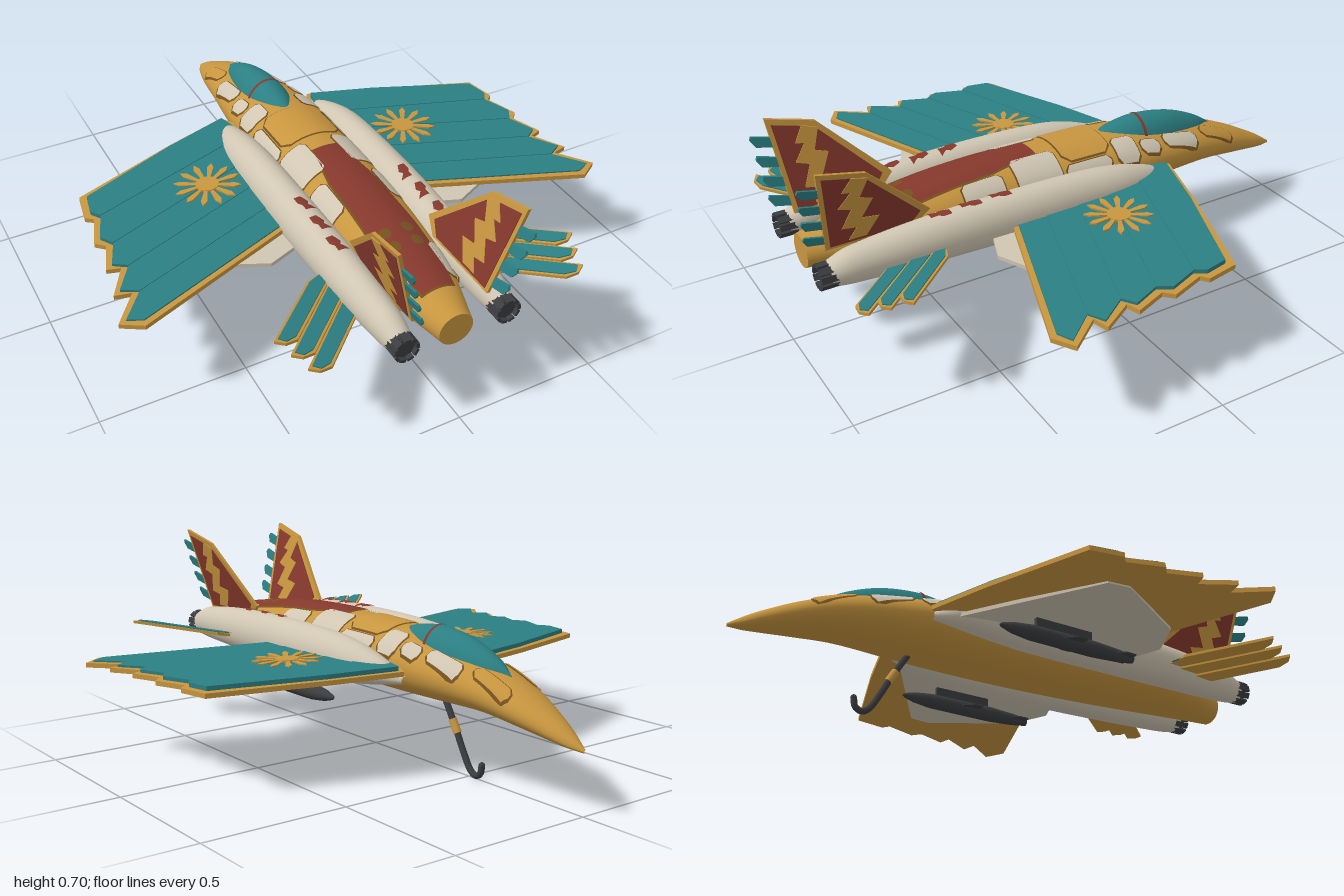
import * as THREE from 'three';
import { mergeVertices } from 'three/addons/utils/BufferGeometryUtils.js';

const material = (name, color) => Object.assign(new THREE.MeshStandardMaterial({ color }), { name });
const gold = material('gold', 0xc8963f), teal = material('teal', 0x2b7f83), cream = material('cream', 0xd0c6b2);
const red = material('red', 0x85382c), dark = material('dark grey', 0x3c3d40), brown = material('brown', 0x74501f);

// Smooth value of column c of a station table at z
function sample(table, z, c) {
  let i = 0;
  while (i < table.length - 2 && z > table[i + 1][0]) i++;
  const slope = (k) => {
    const a = table[Math.max(k - 1, 0)], b = table[Math.min(k + 1, table.length - 1)];
    return (b[c] - a[c]) / (b[0] - a[0]);
  };
  const [p, q] = [table[i], table[i + 1]], h = q[0] - p[0], t = (z - p[0]) / h;
  return p[c] * (1 + 2 * t) * (1 - t) ** 2 + h * slope(i) * t * (1 - t) ** 2
    + q[c] * t * t * (3 - 2 * t) + h * slope(i + 1) * t * t * (t - 1);
}

// Grid surface: u runs along the body, v around or across it
function grid(nu, nv, point) {
  const pos = [], index = [];
  for (let i = 0; i <= nu; i++) for (let j = 0; j <= nv; j++) pos.push(...point(i / nu, j / nv));
  for (let i = 0; i < nu; i++) for (let j = 0; j < nv; j++) {
    const a = i * (nv + 1) + j, b = a + nv + 1;
    index.push(a, a + 1, b, b, a + 1, b + 1);
  }
  const g = new THREE.BufferGeometry();
  g.setAttribute('position', new THREE.Float32BufferAttribute(pos, 3));
  g.setIndex(index);
  const merged = mergeVertices(g, 1e-5);
  merged.computeVertexNormals();
  return merged;
}

// Lofted body; stations are [z, halfWidth, bottom, top, middle, centreX]
function body(table, nu = 60, nv = 32, grow = 0, z0 = table[0][0], z1 = table.at(-1)[0]) {
  return grid(nu, nv, (u, v) => {
    const z = z0 + (z1 - z0) * u, a = v * Math.PI * 2, s = Math.sin(a);
    const [w, lo, hi, mid, cx] = [1, 2, 3, 4, 5].map((c) => sample(table, z, c));
    return [cx + (w + grow) * Math.cos(a), mid + s * (s > 0 ? hi - mid + grow : mid - lo + grow), z];
  });
}

function topOf(table, x, z) {
  const [w, , hi, mid, cx] = [1, 2, 3, 4, 5].map((c) => sample(table, z, c));
  const r = Math.min(Math.abs(x - cx) / w, 0.99);
  return mid + (hi - mid) * Math.sqrt(1 - r * r);
}

// Painted patch on top of a body; rows are [z, x0, x1]
function patch(table, rows, lift = 0.005) {
  const n = rows.length - 1;
  return grid(n * 5, 8, (u, v) => {
    const i = Math.min(Math.floor(u * n), n - 1), t = u * n - i;
    const [z, x0, x1] = [0, 1, 2].map((c) => rows[i][c] * (1 - t) + rows[i + 1][c] * t);
    const x = x1 + (x0 - x1) * v;
    return [x, topOf(table, x, z) + lift, z];
  });
}
const panel = (z0, z1, x0, x1, c = 0.02) =>
  [[z0, x0 + c, x1 - c], [z0 + c, x0, x1], [z1 - c, x0, x1], [z1, x0 + c, x1 - c]];

// Flat plate drawn in plan as [x, z]
function plate(points, y, h) {
  const shape = new THREE.Shape(points.map(([x, z]) => new THREE.Vector2(x, -z)));
  return new THREE.ExtrudeGeometry(shape, { depth: h, bevelEnabled: false }).rotateX(-Math.PI / 2).translate(0, y, 0);
}
// Leaning upright plate drawn from the side as [z, y]
function upright(points, h) {
  const shape = new THREE.Shape(points.map(([z, y]) => new THREE.Vector2(z, y)));
  const g = new THREE.ExtrudeGeometry(shape, { depth: h, bevelEnabled: false }).rotateY(-Math.PI / 2);
  return shift(g, (p) => p.setX(p.x + h / 2 + 0.135 + (p.y - 0.4) * 0.27));
}
function shift(g, rule) {
  const a = g.attributes.position, p = new THREE.Vector3();
  for (let i = 0; i < a.count; i++) {
    rule(p.fromBufferAttribute(a, i));
    a.setXYZ(i, p.x, p.y, p.z);
  }
  g.computeVertexNormals();
  return g;
}

const hull = [
  [-1, 0.004, 0.195, 0.205, 0.2, 0], [-0.95, 0.028, 0.199, 0.24, 0.215, 0], [-0.9, 0.047, 0.206, 0.27, 0.235, 0],
  [-0.77, 0.085, 0.225, 0.335, 0.28, 0], [-0.62, 0.113, 0.242, 0.39, 0.315, 0], [-0.4, 0.145, 0.24, 0.432, 0.34, 0],
  [-0.25, 0.158, 0.238, 0.455, 0.35, 0], [0, 0.158, 0.238, 0.465, 0.352, 0], [0.25, 0.152, 0.244, 0.468, 0.355, 0],
  [0.5, 0.14, 0.255, 0.455, 0.355, 0], [0.75, 0.112, 0.268, 0.42, 0.345, 0], [0.94, 0.06, 0.27, 0.385, 0.327, 0]];
const glass = [
  [-0.69, 0.004, 0.33, 0.37, 0.34, 0], [-0.62, 0.045, 0.33, 0.415, 0.35, 0], [-0.5, 0.073, 0.34, 0.462, 0.36, 0],
  [-0.36, 0.083, 0.35, 0.482, 0.37, 0], [-0.26, 0.07, 0.36, 0.474, 0.38, 0], [-0.18, 0.035, 0.38, 0.455, 0.4, 0]];
const pod = [
  [-0.37, 0.012, 0.31, 0.335, 0.322, 0.17], [-0.28, 0.042, 0.295, 0.38, 0.335, 0.188], [-0.15, 0.063, 0.278, 0.418, 0.348, 0.197],
  [0, 0.07, 0.27, 0.435, 0.352, 0.197], [0.3, 0.071, 0.27, 0.44, 0.354, 0.196], [0.6, 0.067, 0.275, 0.43, 0.352, 0.19],
  [0.85, 0.052, 0.282, 0.402, 0.342, 0.182], [0.92, 0.04, 0.29, 0.375, 0.333, 0.18]];

export function createModel() {
  const model = new THREE.Group();
  const add = (name, geometry, mat) => {
    const mesh = new THREE.Mesh(geometry, mat);
    mesh.name = name;
    model.add(mesh);
  };
  // Adds the +x part and its mirror image
  const pair = (name, geometry, mat) => {
    add(name + 'Left', geometry, mat);
    const g = mergeVertices(geometry.clone().applyMatrix4(new THREE.Matrix4().makeScale(-1, 1, 1)));
    const ix = g.index.array;
    for (let i = 0; i < ix.length; i += 3) [ix[i], ix[i + 1]] = [ix[i + 1], ix[i]];
    add(name + 'Right', g, mat);
  };
  // Patch with a thin brown outline under it
  const outlined = (name, rows, mat, put) => {
    const e = 0.005, last = rows.length - 1;
    const wide = rows.map(([z, a, b], i) => [z + (i === 0 ? -e : i === last ? e : 0), a - e, b + e]);
    put(name + 'Outline', patch(hull, wide, 0.003), brown);
    put(name, patch(hull, rows, 0.006), mat);
  };

  // Fuselage, tail cap and canopy
  add('fuselage', body(hull, 80, 40), gold);
  add('tailCap', new THREE.CircleGeometry(0.06, 32).scale(1, 0.958, 1).translate(0, 0.3275, 0.94), gold);
  add('canopy', body(glass, 40, 32), teal);
  add('canopyHoop', body(glass, 3, 32, 0.004, -0.358, -0.346), red);

  // Fuselage panels
  [[-0.56, -0.41, 0.078, 0.122], [-0.38, -0.3, 0.095, 0.138], [-0.28, -0.19, 0.07, 0.152], [-0.16, 0.02, 0.122, 0.155],
    [0.04, 0.21, 0.052, 0.15], [0.26, 0.41, 0.088, 0.148], [0.65, 0.79, 0.068, 0.112]]
    .forEach(([a, b, c, d]) => outlined('creamPanel', panel(a, b, c, d, 0.014), cream, pair));
  outlined('nosePanel', panel(-0.75, -0.6, 0.05, 0.09, 0.015), gold, pair);
  outlined('backPanel', panel(-0.175, 0.015, -0.11, 0.11, 0.025), gold, add);
  outlined('spine', [[0.1, -0.045, 0.045], [0.28, -0.076, 0.076], [0.55, -0.085, 0.085], [0.7, -0.08, 0.08], [0.83, -0.055, 0.055]], red, add);
  [0.56, 0.62].forEach((z) => pair('spineMark', patch(hull, panel(z, z + 0.04, 0.022, 0.06, 0.01), 0.009), brown));

  // Engine pods with nozzles and red marks
  pair('enginePod', body(pod, 60, 32), cream);
  pair('nozzle', new THREE.CylinderGeometry(0.036, 0.042, 0.05, 20).rotateX(Math.PI / 2).translate(0.18, 0.332, 0.915), dark);
  for (let i = 0; i < 9; i++) {
    pair('nozzlePetal', new THREE.BoxGeometry(0.022, 0.01, 0.06).translate(0, 0.038, 0).rotateZ(i * Math.PI * 2 / 9).translate(0.18, 0.332, 0.925), dark);
  }
  [0.28, 0.39, 0.5].forEach((z) => pair('podMark',
    patch(pod, [[z, 0.185, 0.21], [z + 0.03, 0.172, 0.21], [z + 0.045, 0.18, 0.2], [z + 0.07, 0.16, 0.2]], 0.004), red));

  // Wings: gold plate, five teal feathers, cream underwing
  const lean = (g) => shift(g, (p) => p.setY(p.y - 0.03 * (p.x - 0.2)));
  const front = [[0.795, -0.185], [0.79, -0.05], [0.8, 0.1], [0.795, 0.225], [0.805, 0.35]];
  const back = [[0.815, -0.07], [0.83, 0.07], [0.84, 0.21], [0.86, 0.335], [0.89, 0.46]];
  const tips = front.flatMap((p, i) => [p, back[i]]);
  pair('wing', lean(plate([[0.13, -0.29], [0.18, -0.38], [0.42, -0.312], ...tips, [0.82, 0.505], [0.13, 0.26]], 0.338, 0.016)), gold);
  const rootZ = (k) => -0.355 + 0.125 * k;
  for (let k = 0; k < 5; k++) {
    const [fx, fz] = front[k], [bx, bz] = back[k];
    const start = k === 0 ? [[0.185, -0.36], [0.42, -0.292], [fx - 0.02, fz + 0.025]] : [[0.15, rootZ(k)], [fx - 0.022, fz + 0.008]];
    const end = k === 4 ? [[bx - 0.026, bz - 0.003], [0.815, 0.482], [0.15, 0.25]]
      : [[bx - 0.024, bz - 0.008], [front[k + 1][0] - 0.022, front[k + 1][1] + 0.008], [0.15, rootZ(k + 1)]];
    pair('wingFeather', lean(plate([...start, ...end], 0.35, 0.009 + 0.0025 * (4 - k))), teal);
  }
  pair('underwing', plate([[0.15, -0.34], [0.66, -0.02], [0.67, 0.06], [0.5, 0.355], [0.36, 0.42], [0.15, 0.34]], 0.318, 0.014), cream);

  // Sunbursts on the wings
  const sun = (g) => lean(g.translate(0.39, 0, -0.02));
  pair('sunDisc', sun(new THREE.CylinderGeometry(0.04, 0.04, 0.012, 24).translate(0, 0.366, 0)), gold);
  for (let i = 0; i < 12; i++) {
    const ray = plate([[0.03, -0.005], [0.095, -0.011], [0.118, 0], [0.095, 0.011], [0.03, 0.005]], 0.36, 0.01);
    pair('sunRay', sun(ray.rotateY(i * Math.PI / 6)), gold);
  }

  // Tailplanes: three stepped feathers each, rising outward
  const rise = (g) => shift(g, (p) => p.setY(p.y + 0.17 * (p.x - 0.27)));
  const diag = (t, n) => [0.7071 * (t + n), 0.7071 * (t - n)];
  for (let k = 0; k < 3; k++) {
    const n = -0.183 - 0.06 * k, t = 0.938 + 0.026 * k, y = 0.345 - 0.007 * k;
    const blade = (e) => {
      const root = k ? [[0.17, 0.24 - 1.4142 * n + e - 0.07]] : [[0.17, 0.57 + e], [0.31 - e / 2, 0.57 + e]];
      return [...root, diag(t - e * 1.8, n - e), diag(t - 0.008 - e, n - 0.035), diag(t - 0.042 - e, n - 0.06 + e), [0.17, 0.255 - 1.4142 * (n - 0.06) - e - 0.085]];
    };
    pair('tailplane', rise(plate(blade(0), y - 0.008, 0.01)), gold);
    pair('tailFeather', rise(plate(blade(0.008), y, 0.006)), teal);
  }

  // Fins: gold rim, red face, gold bolt and trailing feathers
  pair('fin', upright([[0.55, 0.44], [0.78, 0.665], [0.942, 0.705], [0.905, 0.39], [0.6, 0.39]], 0.012), gold);
  pair('finFace', upright([[0.585, 0.445], [0.787, 0.648], [0.925, 0.683], [0.89, 0.4], [0.62, 0.4]], 0.017), red);
  pair('finBolt', upright([[0.83, 0.66], [0.775, 0.645], [0.8, 0.575], [0.755, 0.56], [0.79, 0.49], [0.73, 0.48], [0.77, 0.41],
    [0.83, 0.41], [0.805, 0.455], [0.855, 0.465], [0.825, 0.535], [0.87, 0.55], [0.83, 0.605], [0.86, 0.61]], 0.021), gold);
  [0.63, 0.565, 0.5, 0.435].forEach((y, i) => {
    const z = 0.925 - i * 0.007;
    pair('finFeather', upright([[z, y - 0.018], [z + 0.06, y - 0.006], [z + 0.075, y + 0.018], [z + 0.07, y + 0.03], [z, y + 0.012]], 0.009), teal);
  });

  // Underwing stores on pylons
  const profile = [[0, -0.22], [0.008, -0.21], [0.019, -0.17], [0.027, -0.1], [0.028, 0.15], [0.022, 0.25], [0.014, 0.31], [0, 0.31]];
  pair('store', new THREE.LatheGeometry(profile.map(([r, z]) => new THREE.Vector2(r, z)), 20).rotateX(Math.PI / 2).translate(0.34, 0.26, 0), dark);
  pair('pylon', new THREE.BoxGeometry(0.014, 0.05, 0.22).translate(0.34, 0.3, 0.03), dark);
  const vane = [[-0.056, 0.09], [-0.056, 0.05], [0, -0.02], [0.056, 0.05], [0.056, 0.09]];
  pair('storeVane', plate(vane, 0.258, 0.005).translate(0.34, 0, 0), dark);
  pair('storeTailVane', plate(vane.map(([x, z]) => [x * 0.7, z]), 0.258, 0.005).translate(0.34, 0, 0.21), dark);

  // Hook under the nose with a gold collar
  const path = new THREE.CatmullRomCurve3([[0.25, -0.37], [0.16, -0.425], [0.07, -0.475], [0.025, -0.505], [0.011, -0.53], [0.022, -0.553], [0.052, -0.56]]
    .map(([y, z]) => new THREE.Vector3(0, y, z)));
  add('hook', new THREE.TubeGeometry(path, 40, 0.011, 10), dark);
  add('hookTip', new THREE.SphereGeometry(0.011, 10, 8).translate(0, 0.052, -0.56), dark);
  add('hookCollar', new THREE.CylinderGeometry(0.014, 0.014, 0.05, 12).rotateX(0.55).translate(0, 0.155, -0.428), gold);
  return model;
}
